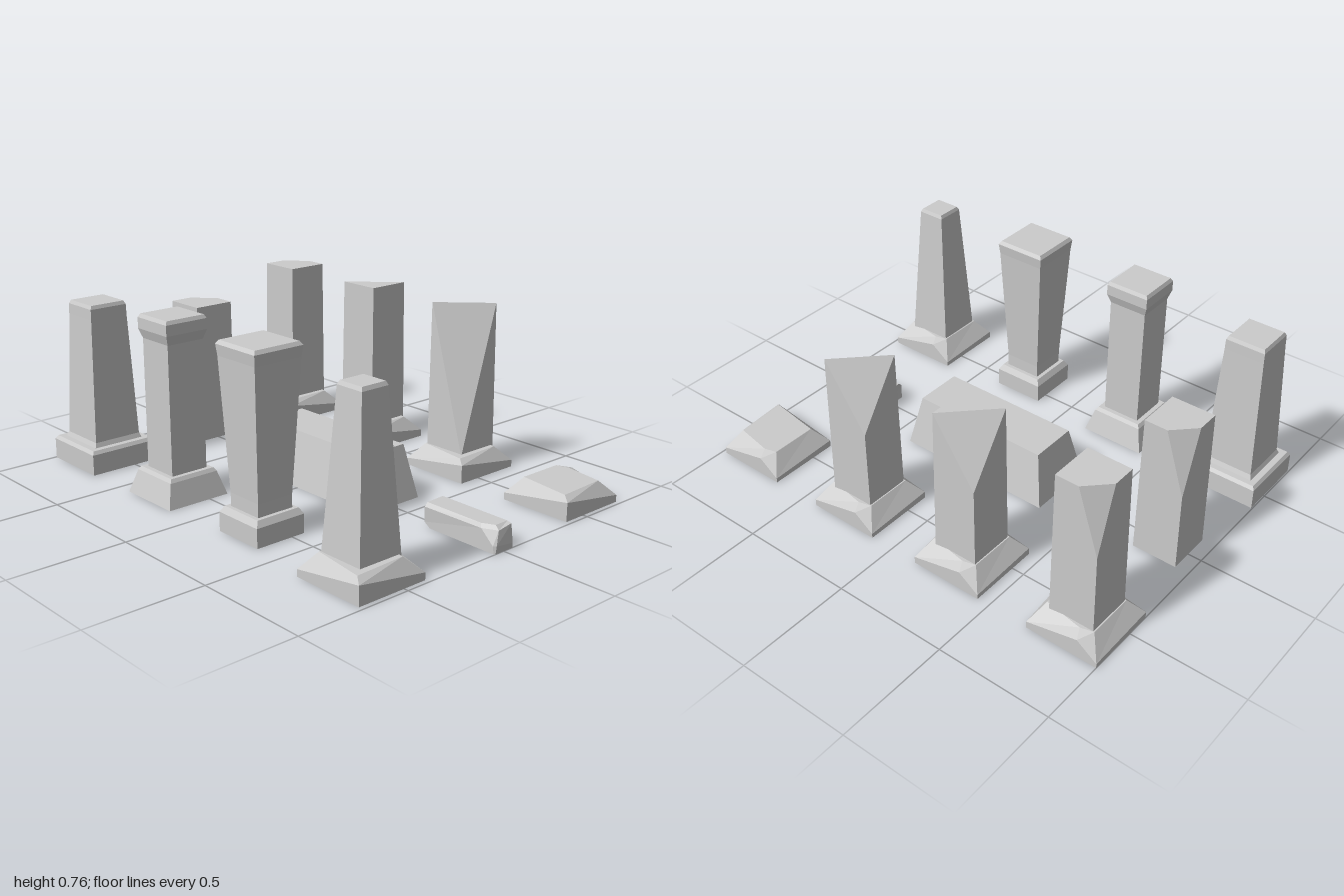
import * as THREE from 'three';
import { ConvexGeometry } from 'three/addons/geometries/ConvexGeometry.js';

const material = new THREE.MeshStandardMaterial({
  color: 0xcccccc, flatShading: true, side: THREE.DoubleSide,
});

// Horizontal rectangle, corners in order front-left, front-right, back-right, back-left
const rect = (y, hx, hz = hx) => [[-hx, y, hz], [hx, y, hz], [hx, y, -hz], [-hx, y, -hz]];

// Skin through stacked rings of equal point count, with optional end caps
function loft(rings, capTop = true, capBottom = false) {
  const out = [];
  const n = rings[0].length;
  for (let r = 0; r < rings.length - 1; r++) {
    const lo = rings[r], hi = rings[r + 1];
    for (let i = 0; i < n; i++) {
      const j = (i + 1) % n;
      out.push(...lo[i], ...lo[j], ...hi[j], ...lo[i], ...hi[j], ...hi[i]);
    }
  }
  const top = rings[rings.length - 1], bottom = rings[0];
  for (let i = 1; i < n - 1; i++) {
    if (capTop) out.push(...top[0], ...top[i], ...top[i + 1]);
    if (capBottom) out.push(...bottom[0], ...bottom[i + 1], ...bottom[i]);
  }
  return fromPositions(out);
}

function fromPositions(list) {
  const g = new THREE.BufferGeometry();
  g.setAttribute('position', new THREE.Float32BufferAttribute(list, 3));
  g.computeVertexNormals();
  return g;
}

// Hollow four-sided pillar from [height, half width] pairs
const pillar = (profile) => loft(profile.map(([y, h]) => rect(y, h)));

// Chipped plinth, hollow underneath; a hole is left where a shaft stands
function chippedBase(hole) {
  const e = 0.16;
  const rings = [
    [[-e, 0, e], [e, 0, e], [e, 0, -0.07], [e, 0, -e], [-e, 0, -e]],
    [[-e, 0.08, e], [e, 0.03, e], [e, 0.085, -0.07], [e, 0.02, -e], [-e, 0.03, -e]],
    [[-0.14, 0.1, 0.13], [0.085, 0.1, 0.12], [0.115, 0.1, -0.05], [0.1, 0.1, -0.105], [-0.105, 0.1, -0.105]],
  ];
  if (hole) {
    const h = hole;
    rings.push([[-h, 0.1, h], [h, 0.1, h], [h, 0.1, -0.05], [h, 0.1, -h], [-h, 0.1, -h]]);
  }
  return loft(rings, !hole);
}

// Square shaft with broken top given by its upper points, optionally open below
function brokenShaft(y0, upper, open) {
  const pts = [...rect(y0, 0.1), ...upper].map((p) => new THREE.Vector3(...p));
  const g = new ConvexGeometry(pts);
  if (!open) return g;
  const p = g.attributes.position.array;
  const kept = [];
  for (let i = 0; i < p.length; i += 9) {
    if (Math.max(p[i + 1], p[i + 4], p[i + 7]) > y0 + 1e-4) kept.push(...p.slice(i, i + 9));
  }
  return fromPositions(kept);
}

// Top points with the back-right corner sliced off by a given width
function slicedTop(y, cut) {
  const h = 0.095;
  return [[-h, y, h], [h, y, h], [h, y, -h + cut], [h - cut, y, -h], [-h, y, -h], [h, y - 0.28, -h]]
    .filter((p, i) => i !== 4 || cut < 2 * h);
}

export function createModel() {
  const model = new THREE.Group();
  const add = (name, geometry, x, z) => {
    const m = new THREE.Mesh(geometry, material);
    m.name = name;
    m.position.set(x, 0, z);
    model.add(m);
  };
  const X = 0.555, Z = [-0.84, -0.285, 0.265, 0.82];

  // Intact pillars on the right-hand side
  add('taperedPillar', pillar([
    [0, 0.155], [0.09, 0.155], [0.105, 0.145], [0.105, 0.118], [0.125, 0.11],
    [0.66, 0.088], [0.705, 0.087], [0.72, 0.08],
  ]), -X, Z[0]);
  add('cappedPillar', pillar([
    [0, 0.145], [0.1, 0.115], [0.115, 0.105], [0.115, 0.085],
    [0.66, 0.085], [0.7, 0.098], [0.745, 0.098], [0.76, 0.09],
  ]), -X, Z[1]);
  add('flaredPillar', pillar([
    [0, 0.115], [0.08, 0.115], [0.105, 0.1], [0.105, 0.083],
    [0.16, 0.083], [0.7, 0.11], [0.745, 0.115], [0.76, 0.105],
  ]), -X, Z[2]);

  // Slim obelisk on a chipped plinth
  add('obeliskBase', chippedBase(0.09), -X, Z[3]);
  add('obeliskShaft', pillar([[0.09, 0.1], [0.715, 0.062], [0.73, 0.055]]), -X, Z[3]);

  // Broken pillars, increasingly damaged, and a bare plinth
  const h = 0.095;
  const tops = [
    slicedTop(0.73, 0.09),
    slicedTop(0.73, 0.19),
    [[-h, 0.73, -h], [h, 0.73, h], [h, 0.45, -h]],
  ];
  Z.forEach((z, i) => {
    const shaft = tops[i];
    add(shaft ? 'brokenPillarBase' : 'bareBase', chippedBase(shaft && 0.09), X, z);
    if (shaft) add('brokenPillarShaft', brokenShaft(0.09, shaft, true), X, z);
  });

  // Loose shaft standing on the ground
  add('looseShaft', brokenShaft(0, slicedTop(0.63, 0.09), false), -0.005, Z[0]);

  // Long sloped block in the middle
  add('longBlock', loft([rect(0, 0.15, 0.36), rect(0.23, 0.105, 0.315)]), 0, 0.05);

  // Small stone with a chipped front corner
  const s = 0.05, d = 0.18;
  add('smallStone', loft([
    [[-s, 0, d - 0.005], [-s + 0.005, 0, d], [s, 0, d], [s, 0, -d + 0.03], [-s, 0, -d + 0.03]],
    [[-s, 0.03, d - 0.01], [-s + 0.01, 0.03, d], [s, 0.02, d], [s, 0.02, -d], [-s, 0.02, -d]],
    [[-s, 0.085, d - 0.07], [-s + 0.03, 0.085, d - 0.01], [s, 0.095, d - 0.01], [s, 0.1, -d], [-s - 0.005, 0.085, -d + 0.005]],
    [[-s + 0.01, 0.1, d - 0.08], [-s + 0.035, 0.1, d - 0.03], [s, 0.1, d - 0.03], [s, 0.1, -d], [-s + 0.01, 0.1, -d + 0.005]],
  ], true, true), 0, 0.82);

  return model;
}
